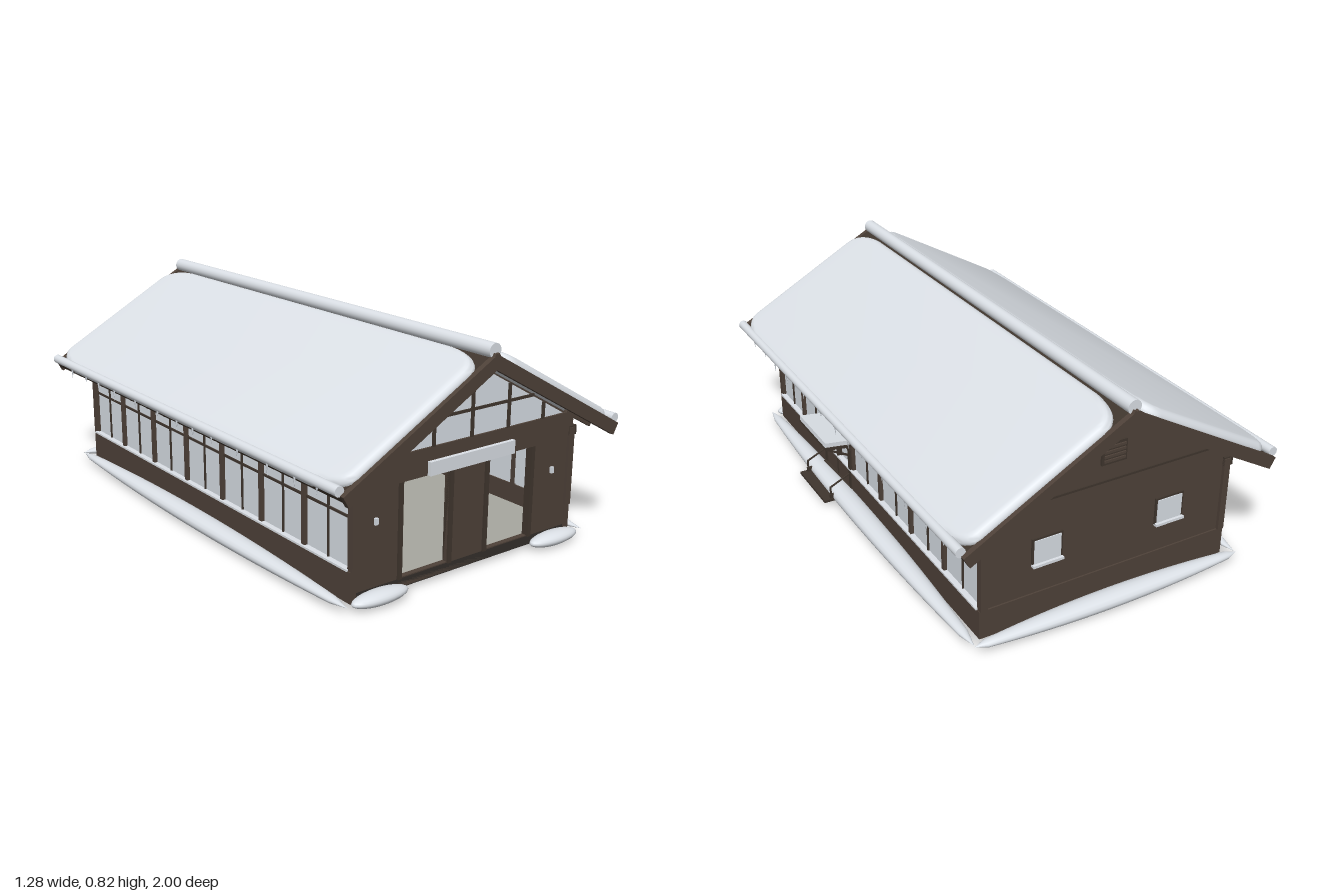
import * as THREE from 'three';
import { toCreasedNormals } from 'three/addons/utils/BufferGeometryUtils.js';

const mat = (name, color) => Object.assign(new THREE.MeshStandardMaterial({ color }), { name });

export function createModel() {
  const wood = mat('brown timber', 0x4f4239);
  const trim = mat('dark timber', 0x40362e);
  const snow = mat('snow', 0xdfe4ea);
  const glass = mat('pale glass', 0xdae0e7);
  const floorMat = mat('floor grey', 0xa8a8a0);
  const base = mat('foundation', 0x35302c);

  const model = new THREE.Group();
  model.name = 'snowyHall';
  const add = (name, geo, material, parent = model, x = 0, y = 0, z = 0) => {
    const m = new THREE.Mesh(geo, material);
    m.name = name;
    m.position.set(x, y, z);
    parent.add(m);
    return m;
  };
  // box given by its limits on each axis
  const box = (name, material, [x0, x1], [y0, y1], [z0, z1], parent = model) =>
    add(name, new THREE.BoxGeometry(x1 - x0, y1 - y0, z1 - z0), material, parent,
      (x0 + x1) / 2, (y0 + y1) / 2, (z0 + z1) / 2);
  // thin bar between two points in the xy plane
  const bar = (name, material, a, b, thick, depth, z, parent = model) => {
    const m = add(name, new THREE.BoxGeometry(Math.hypot(b[0] - a[0], b[1] - a[1]), thick, depth),
      material, parent, (a[0] + b[0]) / 2, (a[1] + b[1]) / 2, z);
    m.rotation.z = Math.atan2(b[1] - a[1], b[0] - a[0]);
    return m;
  };
  const polygon = pts => new THREE.Shape(pts.map(p => new THREE.Vector2(...p)));
  const plate = (shape, depth) => new THREE.ExtrudeGeometry(shape, { depth, bevelEnabled: false });

  // Foundation and floor
  box('foundation', base, [-0.5, 0.5], [0.042, 0.076], [-0.89, 0.89]);
  box('floor', floorMat, [-0.485, 0.485], [0.076, 0.08], [-0.87, 0.87]);

  // Gable walls, the front one with two open doorways
  const gable = () => polygon([[-0.5, 0.045], [0.5, 0.045], [0.5, 0.49], [0, 0.768], [-0.5, 0.49]]);
  const frontShape = gable();
  for (const s of [-1, 1]) {
    frontShape.holes.push(polygon([[s * 0.09, 0.08], [s * 0.295, 0.08], [s * 0.295, 0.415], [s * 0.09, 0.415]]));
  }
  add('frontWall', plate(frontShape, 0.02), wood, model, 0, 0, 0.87);
  add('backWall', plate(gable(), 0.02), wood, model, 0, 0, -0.89);

  // Front gable window with mullions
  add('gableGlass', plate(polygon([[-0.445, 0.512], [0.445, 0.512], [0, 0.762]]), 0.004), glass, model, 0, 0, 0.89);
  for (const x of [-0.34, -0.17, 0, 0.17, 0.34]) {
    box('gableMullion', trim, [x - 0.006, x + 0.006], [0.51, 0.762 - Math.abs(x) * 0.56], [0.89, 0.9]);
  }
  box('gableRail', trim, [-0.29, 0.29], [0.6, 0.61], [0.89, 0.899]);
  box('frontTieBeam', wood, [-0.5, 0.5], [0.415, 0.51], [0.89, 0.897]);

  // Front door frames, lamps and sign
  for (const s of [-1, 1]) {
    for (const x of [0.082, 0.302]) {
      box('doorPost', trim, [s * x - 0.008, s * x + 0.008], [0.076, 0.415], [0.87, 0.898]);
    }
    box('wallLamp', glass, [s * 0.405 - 0.006, s * 0.405 + 0.006], [0.294, 0.317], [0.89, 0.9]);
    // Fittings inside the hall
    box('hangingCabinet', trim, [s * 0.235 - 0.045, s * 0.235 + 0.045], [0.34, 0.42], [0.62, 0.7]);
    box('shelf', trim, [s * 0.185 - 0.095, s * 0.185 + 0.095], [0.325, 0.336], [-0.86, -0.8]);
    box('shelfTop', floorMat, [s * 0.185 - 0.095, s * 0.185 + 0.095], [0.336, 0.345], [-0.86, -0.8]);
  }
  box('signBoard', snow, [-0.193, 0.193], [0.416, 0.464], [0.897, 0.912]);

  // Back wall bands, windows and vent
  box('backTieBeam', trim, [-0.49, 0.49], [0.505, 0.513], [-0.895, -0.89]);
  box('backLowerBand', wood, [-0.505, 0.505], [0.045, 0.155], [-0.896, -0.89]);
  for (const x of [-0.25, 0.25]) {
    box('backWindowFrame', trim, [x - 0.06, x + 0.06], [0.268, 0.372], [-0.896, -0.89]);
    box('backWindowGlass', glass, [x - 0.052, x + 0.052], [0.275, 0.365], [-0.899, -0.89]);
    box('backWindowSill', snow, [x - 0.06, x + 0.06], [0.264, 0.274], [-0.908, -0.89]);
  }
  box('ventFrame', trim, [-0.05, 0.05], [0.575, 0.655], [-0.898, -0.89]);
  for (let i = 0; i < 4; i++) {
    box('ventSlat', wood, [-0.042, 0.042], [0.585 + i * 0.017, 0.594 + i * 0.017], [-0.903, -0.89]);
  }

  // Glazed long walls, built for +x and turned round for -x
  for (const turn of [0, Math.PI]) {
    const side = new THREE.Group();
    side.name = turn ? 'rightLongWall' : 'leftLongWall';
    side.rotation.y = turn;
    model.add(side);
    box('lowerWall', wood, [0.485, 0.508], [0.045, 0.155], [-0.895, 0.895], side);
    box('snowySill', snow, [0.49, 0.513], [0.155, 0.162], [-0.88, 0.88], side);
    box('windowGlass', glass, [0.485, 0.492], [0.16, 0.45], [-0.88, 0.88], side);
    box('windowRail', trim, [0.484, 0.498], [0.331, 0.339], [-0.88, 0.88], side);
    box('wallPlate', wood, [0.48, 0.505], [0.448, 0.49], [-0.89, 0.89], side);
    for (let i = 0; i < 8; i++) {
      const z = -0.889 + i * 0.254;
      const w = i % 7 ? 0.009 : 0.014;
      box('post', wood, [0.48, 0.505], [0.155, 0.45], [z - w, z + w], side);
      if (i < 7) box('mullion', trim, [0.484, 0.498], [0.16, 0.45], [z + 0.124, z + 0.13], side);
    }
    for (const z of [-0.885, 0.885]) box('beamEnd', trim, [0.48, 0.517], [0.42, 0.455], [z - 0.015, z + 0.015], side);
  }

  // Roof: each slope lies in its own tilted group, x running down the slope
  const pitch = Math.atan(0.555);
  const outline = new THREE.Shape();
  const [a, b, h, c] = [0.055, 0.685, 0.955, 0.13];
  outline.moveTo(a + 0.07, -h);
  outline.lineTo(b - 0.06, -h);
  outline.quadraticCurveTo(b - 0.02, -h, b, -h + c);
  outline.lineTo(b, h - c);
  outline.quadraticCurveTo(b - 0.02, h, b - 0.06, h);
  outline.lineTo(a + 0.07, h);
  outline.quadraticCurveTo(a + 0.01, h, a, h - c);
  outline.lineTo(a, -h + c);
  outline.quadraticCurveTo(a + 0.01, -h, a + 0.07, -h);
  const snowGeo = toCreasedNormals(new THREE.ExtrudeGeometry(outline, {
    depth: 0.002, bevelThickness: 0.028, bevelSize: 0.028, bevelSegments: 5, curveSegments: 8,
  }).rotateX(-Math.PI / 2), 0.9);

  for (const turn of [0, Math.PI]) {
    const half = new THREE.Group();
    half.name = turn ? 'rightRoofHalf' : 'leftRoofHalf';
    half.rotation.y = turn;
    model.add(half);
    const slope = new THREE.Group();
    slope.name = 'roofSlope';
    slope.position.y = 0.808;
    slope.rotation.z = -pitch;
    half.add(slope);
    box('roofBoards', trim, [-0.005, 0.708], [-0.024, 0], [-0.985, 0.985], slope);
    for (const z of [-0.99, 0.99]) {
      box('bargeBoard', wood, [-0.01, 0.708], [-0.042, 0.004], [z - 0.01, z + 0.01], slope);
    }
    for (let i = 0; i < 15; i++) {
      const z = -0.889 + i * 0.127;
      box('rafter', wood, [0.55, 0.7], [-0.04, -0.024], [z - 0.007, z + 0.007], slope);
    }
    add('roofSnow', snowGeo, snow, slope);
    const eave = add('eaveSnowRoll', new THREE.CylinderGeometry(0.018, 0.018, 1.965, 16), snow, half, 0.622, 0.482, 0);
    eave.rotation.x = Math.PI / 2;
    // Icicles in an uneven row
    for (let i = 0; i < 13; i++) {
      const len = 0.03 + 0.02 * Math.abs(Math.sin(i * 2.3));
      const icicle = add('icicle', new THREE.ConeGeometry(0.005, len, 6), glass, half,
        0.622, 0.468 - len / 2, -0.87 + i * 0.145 + 0.03 * Math.sin(i * 5.1));
      icicle.rotation.x = Math.PI;
    }
  }
  const ridge = add('ridgeSnowRoll', new THREE.CylinderGeometry(0.026, 0.026, 1.975, 20), snow, model, 0, 0.822, 0);
  ridge.rotation.x = Math.PI / 2;

  // Side door with canopy, steps and handrails
  const porch = new THREE.Group();
  porch.name = 'sidePorch';
  model.add(porch);
  box('doorHeader', trim, [0.485, 0.512], [0.245, 0.256], [0.13, 0.386], porch);
  for (const z of [0.138, 0.258, 0.378]) {
    const w = z === 0.258 ? 0.003 : 0.01;
    box('doorStile', trim, [0.485, 0.512], [0.08, 0.25], [z - w, z + w], porch);
  }
  bar('canopyBoard', trim, [0.5, 0.271], [0.61, 0.285], 0.012, 0.27, 0.257, porch);
  bar('canopySnow', snow, [0.5, 0.286], [0.61, 0.3], 0.018, 0.262, 0.257, porch);
  box('upperStep', trim, [0.5, 0.565], [0.068, 0.078], [0.13, 0.386], porch);
  box('lowerStep', trim, [0.555, 0.627], [0.043, 0.053], [0.13, 0.386], porch);
  for (const z of [0.14, 0.376]) {
    bar('canopyStrut', trim, [0.5, 0.218], [0.605, 0.275], 0.007, 0.008, z, porch);
    bar('handrail', trim, [0.5, 0.145], [0.597, 0.1], 0.005, 0.006, z, porch);
    box('railPost', trim, [0.592, 0.598], [0.045, 0.102], [z - 0.003, z + 0.003], porch);
    box('stepStringer', trim, [0.5, 0.6], [0.043, 0.07], [z - 0.005, z + 0.005], porch);
  }

  // Snow drifts: slim tapered banks along the sides and back, mounds in front
  const drift = (name, half) => {
    const pts = [];
    for (let i = 0; i <= 24; i++) {
      const t = -1 + i / 12;
      pts.push(new THREE.Vector2(Math.abs(t) === 1 ? 0 : 0.3 + 0.7 * (1 - t * t), t * half));
    }
    return add(name, new THREE.LatheGeometry(pts, 16), snow);
  };
  for (const s of [-1, 1]) {
    const bank = drift('sideSnowBank', 0.93);
    bank.rotation.x = Math.PI / 2;
    bank.scale.set(0.044, 1, 0.03);
    bank.position.set(s * 0.545, 0.057, 0);
    const mound = add('frontSnowMound', new THREE.SphereGeometry(1, 24, 12), snow, model, s * 0.405, 0.055, 0.92);
    mound.scale.set(0.116, 0.025, 0.04);
  }
  const back = drift('backSnowBank', 0.55);
  back.rotation.z = Math.PI / 2;
  back.scale.set(0.03, 1, 0.044);
  back.position.set(0, 0.056, -0.935);

  return model;
}
